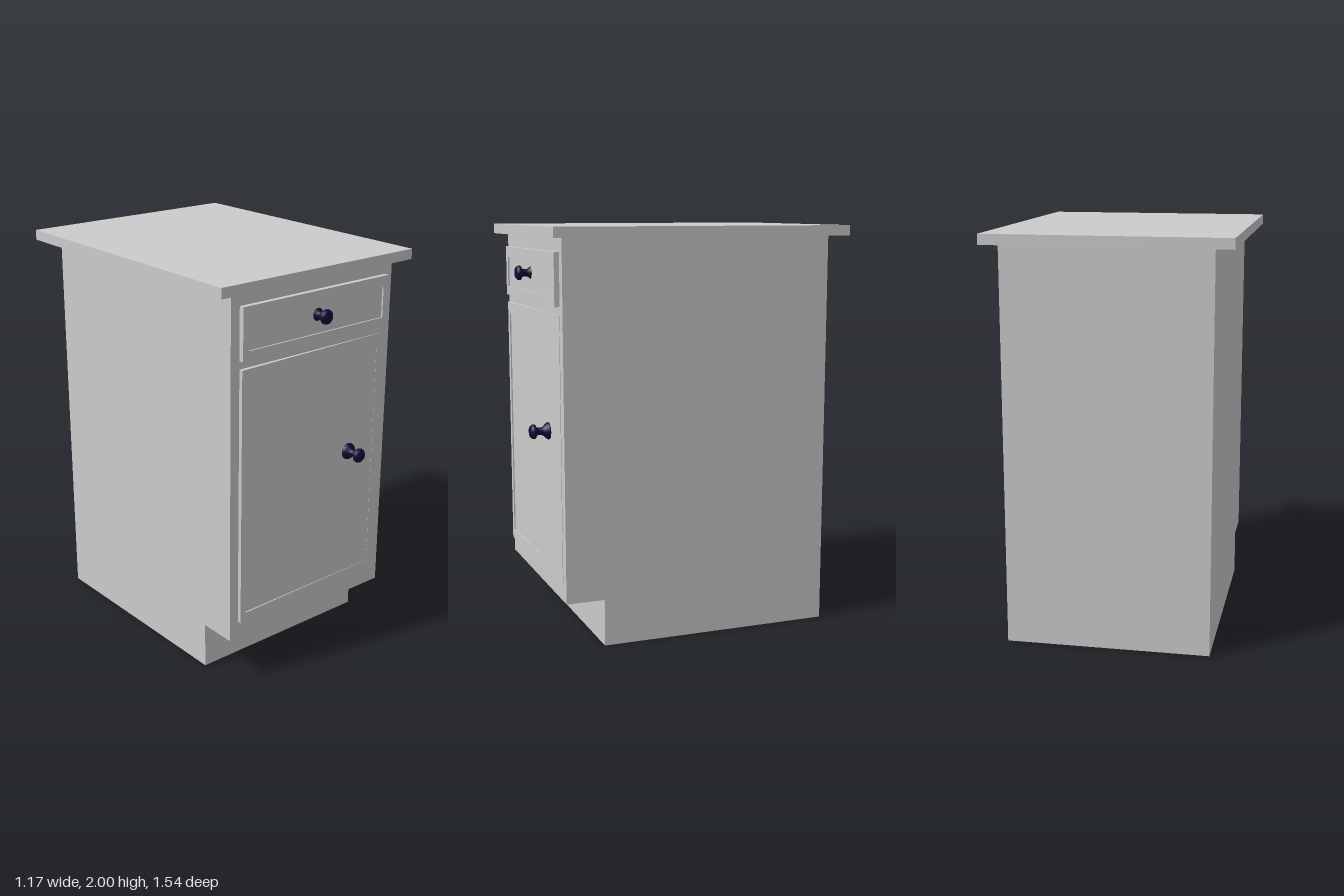
import * as THREE from 'three';

const grey = new THREE.MeshStandardMaterial({ color: 0xcccccc });
const navy = new THREE.MeshStandardMaterial({ color: 0x120a38 });

function add(group, name, geometry, material = grey) {
  const mesh = new THREE.Mesh(geometry, material);
  mesh.name = name;
  group.add(mesh);
  return mesh;
}

function outline(points, Type = THREE.Shape) {
  return new Type(points.map(([x, y]) => new THREE.Vector2(x, y)));
}

const rect = (x0, x1, y0, y1) => [[x0, y0], [x1, y0], [x1, y1], [x0, y1]];

// Framed front: a border with a sunken panel; depthAt(x) scales its thickness
function framedFront(name, outer, inner, thickness, recess, depthAt) {
  const group = new THREE.Group();
  group.name = name;
  const shape = outline(rect(...outer));
  shape.holes.push(outline(rect(...inner), THREE.Path));
  const parts = {
    Frame: new THREE.ExtrudeGeometry(shape, { depth: thickness, bevelEnabled: false }),
    Panel: new THREE.ExtrudeGeometry(outline(rect(...inner)), { depth: thickness - recess, bevelEnabled: false }),
  };
  for (const [part, geometry] of Object.entries(parts)) {
    const p = geometry.attributes.position;
    for (let i = 0; i < p.count; i++) p.setZ(i, p.getZ(i) * depthAt(p.getX(i)));
    geometry.computeVertexNormals();
    add(group, name + part, geometry);
  }
  group.position.z = 0.67;
  return group;
}

// Turned knob: flared foot, slim neck and domed head, pointing to +z
function knob(group, name, x, y, z) {
  const profile = [
    [0, 0], [0.042, 0], [0.041, 0.01], [0.034, 0.02], [0.023, 0.03],
    [0.018, 0.04], [0.018, 0.058], [0.022, 0.066], [0.034, 0.071],
    [0.036, 0.08], [0.033, 0.088], [0.025, 0.096], [0, 0.1],
  ].map(([r, h]) => new THREE.Vector2(r, h));
  const mesh = add(group, name, new THREE.LatheGeometry(profile, 24), navy);
  mesh.rotation.x = Math.PI / 2;
  mesh.position.set(x, y, z);
}

export function createModel() {
  const model = new THREE.Group();
  model.name = 'cabinet';

  // Carcass: side profile with a toe kick, extruded across the width
  const side = outline([
    [-0.685, 0], [0.48, 0], [0.48, 0.23], [0.67, 0.23], [0.67, 1.95], [-0.685, 1.95],
  ].map(([z, y]) => [-z, y]).reverse());
  const carcass = new THREE.ExtrudeGeometry(side, { depth: 1, bevelEnabled: false });
  carcass.rotateY(Math.PI / 2).translate(-0.49, 0, 0);
  add(model, 'carcass', carcass);

  // Worktop, very slightly askew
  const top = outline([[-0.585, -0.722], [0.582, -0.729], [0.582, 0.763], [-0.585, 0.771]]);
  const worktop = new THREE.ExtrudeGeometry(top, { depth: 0.05, bevelEnabled: false });
  worktop.rotateX(-Math.PI / 2).translate(0, 1.95, 0);
  add(model, 'worktop', worktop);

  // Drawer front
  model.add(framedFront('drawer', [-0.44, 0.465, 1.635, 1.885], [-0.405, 0.435, 1.68, 1.83],
    0.025, 0.008, () => 1));

  // Door, thinning towards its right-hand edge
  model.add(framedFront('door', [-0.44, 0.46, 0.32, 1.595], [-0.41, 0.43, 0.365, 1.54],
    0.02, 0.007, (x) => 1 - 0.9 * (x + 0.44) / 0.9));

  knob(model, 'drawerKnob', 0.015, 1.77, 0.664);
  knob(model, 'doorKnob', 0.26, 1.025, 0.671);
  return model;
}
